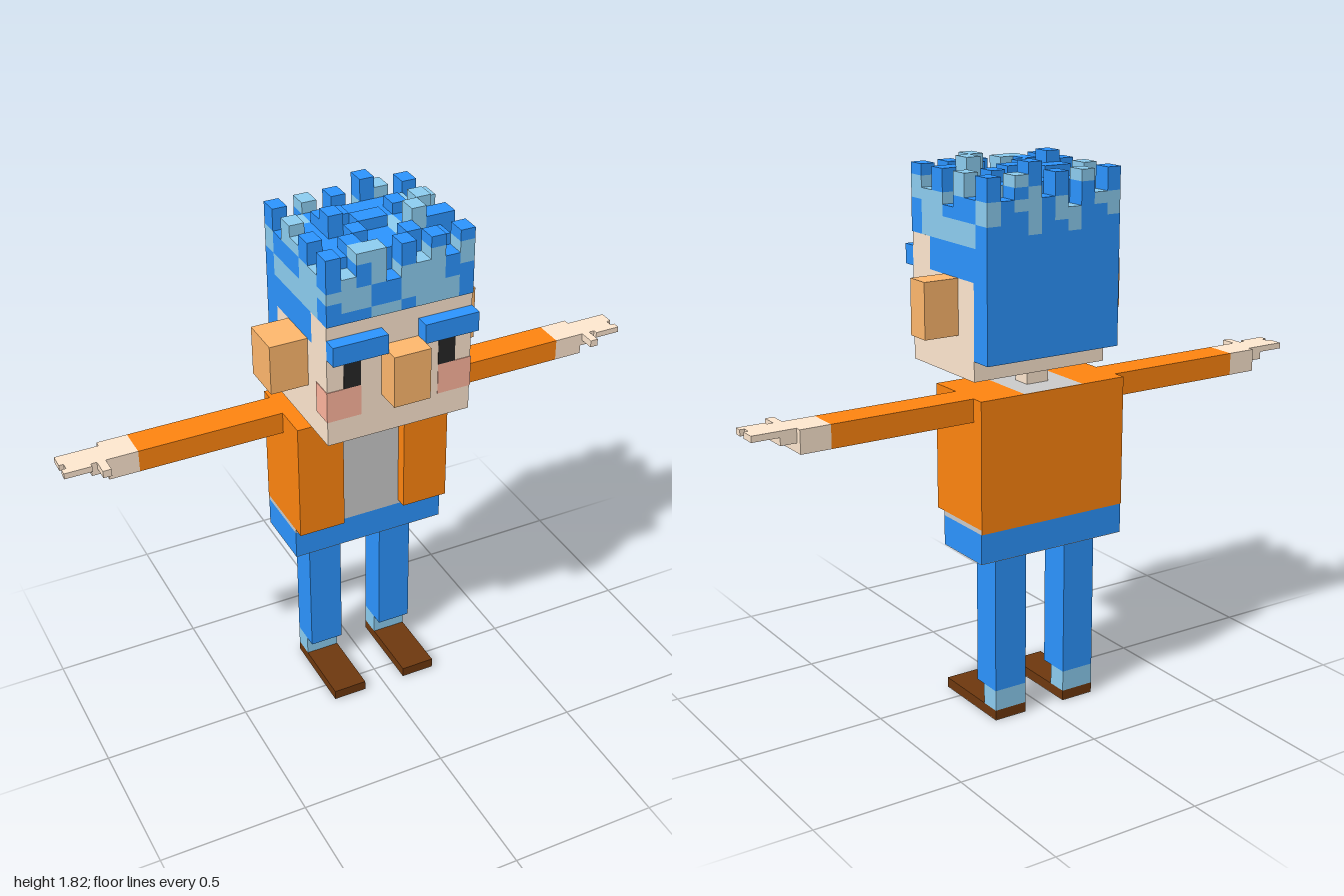
import * as THREE from 'three';
import { mergeGeometries } from 'three/addons/utils/BufferGeometryUtils.js';

const mat = (color) => new THREE.MeshStandardMaterial({ color });
const M = {
  blue: mat(0x2c95ff), light: mat(0x8dcef1), orange: mat(0xff8510), skin: mat(0xffe8d0),
  tan: mat(0xffb86d), brown: mat(0x6e380e), dark: mat(0x262626), cheek: mat(0xffb59e), grey: mat(0xcccccc),
};

// Box geometry from its limits on each axis
function boxGeo(x0, x1, y0, y1, z0, z1) {
  return new THREE.BoxGeometry(x1 - x0, y1 - y0, z1 - z0)
    .translate((x0 + x1) / 2, (y0 + y1) / 2, (z0 + z1) / 2);
}

function box(parent, name, material, ...limits) {
  const mesh = new THREE.Mesh(boxGeo(...limits), material);
  mesh.name = name;
  parent.add(mesh);
}

// The same box on both sides of the body
function pair(parent, name, material, x0, x1, ...rest) {
  box(parent, 'left' + name, material, x0, x1, ...rest);
  box(parent, 'right' + name, material, -x1, -x0, ...rest);
}

// Column heights in cells; rows run back to front, columns from -x to +x
const HEIGHTS = [
  '6463647646',
  '4555555554',
  '6566555656',
  '5575665573',
  '6556555766',
  '4565556554',
  '6466364646',
];
// Cell colours from the top layer down; L is a light cell
const FRONT = ['..LL..L.L.', '.L.L...LLL', '.L.L.LLL.L', 'LLL..LLL..', '.LL..LLLL.', '...LL.LLL.'];
const SIDE = ['...LL..', '.L.LL..', '.LL...L', '.LL...L', '.LLLLL.', '.LLLLL.'];
const BACK = ['..L....L..', 'L..L..L..L', 'LL.LL.LL.L', 'L..LL.L...', '...L..L...', '..........'];
const TOP = ['..........', '.L......LL', '........L.', '......L.L.', '......LL..', '...L.....L', '.LL.......'];

function addHair(parent) {
  const hair = new THREE.Group();
  hair.name = 'hair';
  const cells = { blue: [], light: [] };
  const dx = 0.049, dy = 0.0365, dz = 0.44 / 7;
  for (let j = 0; j < 7; j++) for (let i = 0; i < 10; i++) {
    const h = Number(HEIGHTS[j][i]);
    for (let k = 0; k < h; k++) {
      const row = Math.max(0, 5 - k);
      let c;
      if (j === 6) c = FRONT[row][i];
      else if (i === 0 || i === 9) c = SIDE[row][6 - j];
      else if (j === 0) c = BACK[row][i];
      else c = TOP[j][i];
      const x = -0.245 + i * dx, y = 1.56 + k * dy, z = -0.26 + j * dz;
      cells[c === 'L' ? 'light' : 'blue'].push(boxGeo(x, x + dx, y, y + dy, z, z + dz));
    }
  }
  for (const key of ['blue', 'light']) {
    const mesh = new THREE.Mesh(mergeGeometries(cells[key]), M[key]);
    mesh.name = key + 'Tufts';
    hair.add(mesh);
  }
  box(hair, 'hairSides', M.blue, -0.245, 0.245, 1.455, 1.56, -0.185, 0.07);
  box(hair, 'hairBack', M.blue, -0.245, 0.245, 1.21, 1.56, -0.26, -0.185);
  parent.add(hair);
}

function addHead(parent) {
  const head = new THREE.Group();
  head.name = 'head';
  box(head, 'face', M.skin, -0.245, 0.245, 1.145, 1.455, -0.185, 0.175);
  box(head, 'forehead', M.skin, -0.245, 0.245, 1.455, 1.56, 0.07, 0.175);
  box(head, 'nose', M.tan, -0.062, 0.062, 1.28, 1.455, 0.175, 0.26);
  box(head, 'leftEar', M.tan, 0.245, 0.365, 1.275, 1.455, -0.095, -0.012);
  box(head, 'rightEar', M.tan, -0.37, -0.245, 1.29, 1.455, -0.1, 0.04);
  pair(head, 'Brow', M.blue, 0.062, 0.245, 1.45, 1.515, 0.175, 0.222);
  pair(head, 'Eye', M.dark, 0.132, 0.19, 1.335, 1.45, 0.17, 0.177);
  pair(head, 'Cheek', M.cheek, 0.132, 0.247, 1.23, 1.335, 0.1, 0.177);
  box(head, 'neck', M.skin, -0.04, 0.04, 1.1, 1.15, -0.17, -0.105);
  addHair(head);
  parent.add(head);
}

function addTorso(parent) {
  const torso = new THREE.Group();
  torso.name = 'torso';
  box(torso, 'shirt', M.grey, -0.11, 0.11, 0.69, 1.105, -0.26, -0.04);
  box(torso, 'shirtHem', M.grey, -0.27, 0.27, 0.675, 0.69, -0.26, -0.04);
  pair(torso, 'JacketHalf', M.orange, 0.11, 0.27, 0.69, 1.105, -0.26, 0);
  box(torso, 'jacketBack', M.orange, -0.27, 0.27, 0.675, 1.105, -0.263, -0.26);
  box(torso, 'hips', M.blue, -0.27, 0.27, 0.577, 0.675, -0.26, -0.04);
  box(torso, 'hipsUnderside', M.grey, -0.27, 0.27, 0.575, 0.577, -0.26, -0.04);
  parent.add(torso);
}

function addArms(parent) {
  const arms = new THREE.Group();
  arms.name = 'arms';
  pair(arms, 'Sleeve', M.orange, 0.27, 0.757, 1.03, 1.105, -0.22, -0.115);
  pair(arms, 'Wrist', M.skin, 0.757, 0.857, 1.03, 1.105, -0.22, -0.115);
  pair(arms, 'Palm', M.skin, 0.857, 0.91, 1.06, 1.105, -0.2, -0.115);
  pair(arms, 'Thumb', M.skin, 0.862, 0.89, 1.08, 1.105, -0.115, -0.06);
  // Fingers of uneven length side by side
  [1, 1, 0.985, 1].forEach((tip, n) => {
    const z = -0.2 + n * 0.025;
    pair(arms, 'Finger' + (n + 1), M.skin, 0.91, tip, 1.085, 1.105, z, z + 0.025);
  });
  parent.add(arms);
}

function addLegs(parent) {
  const legs = new THREE.Group();
  legs.name = 'legs';
  pair(legs, 'TrouserLeg', M.blue, 0.075, 0.192, 0.105, 0.577, -0.22, -0.11);
  pair(legs, 'Sock', M.light, 0.075, 0.192, 0.035, 0.105, -0.22, -0.15);
  pair(legs, 'Shoe', M.brown, 0.075, 0.192, 0.002, 0.035, -0.22, 0.08);
  pair(legs, 'Sole', M.grey, 0.075, 0.192, 0, 0.002, -0.22, 0.08);
  parent.add(legs);
}

export function createModel() {
  const figure = new THREE.Group();
  figure.name = 'blockFigure';
  addHead(figure);
  addTorso(figure);
  addArms(figure);
  addLegs(figure);
  return figure;
}
